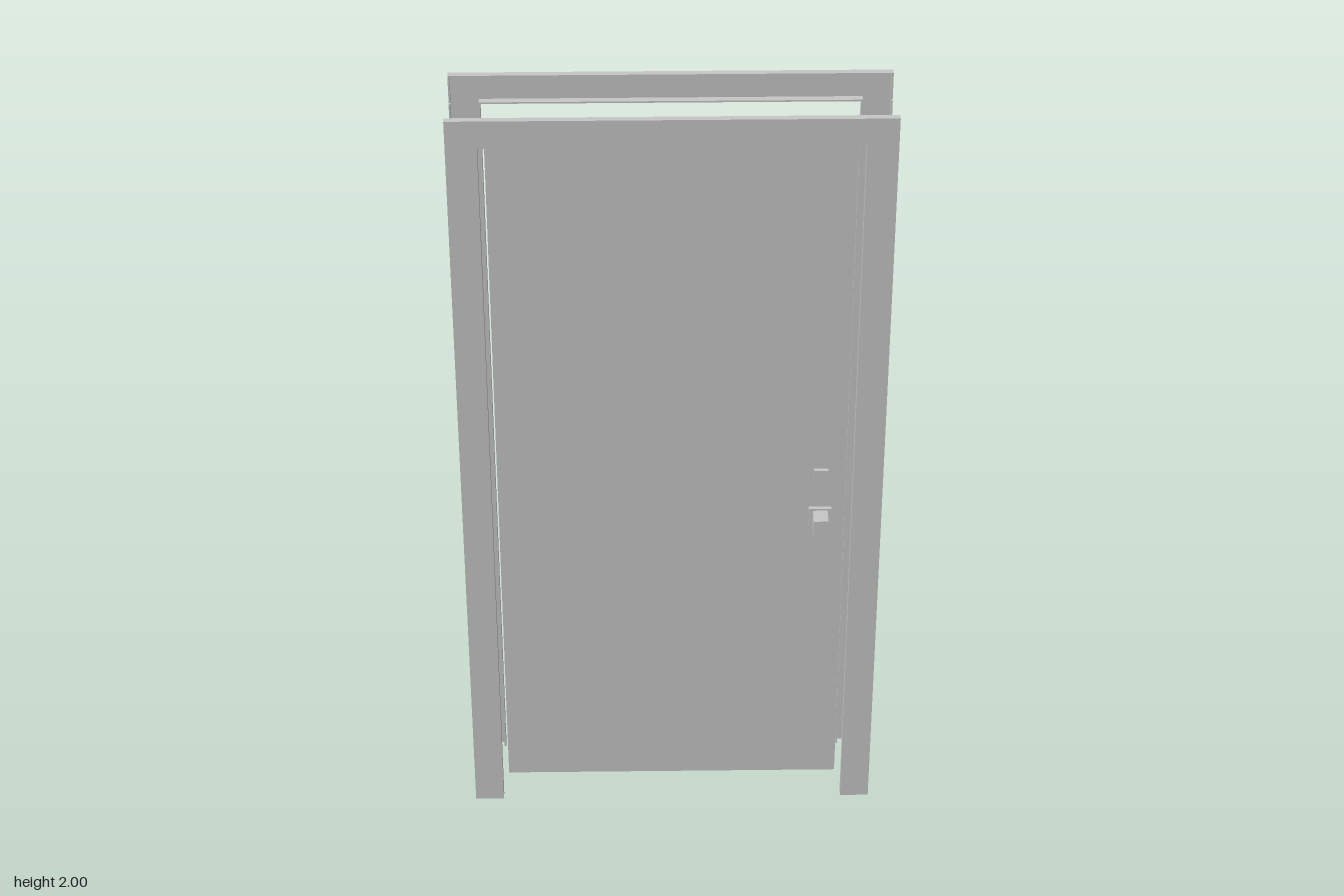
import * as THREE from 'three';

const grey = new THREE.MeshStandardMaterial({ color: 0xc8c8c8 });
grey.name = 'light grey';

// Box given by its lower and upper bounds on each axis
function box(name, [x0, x1], [y0, y1], [z0, z1]) {
  const mesh = new THREE.Mesh(new THREE.BoxGeometry(x1 - x0, y1 - y0, z1 - z0), grey);
  mesh.position.set((x0 + x1) / 2, (y0 + y1) / 2, (z0 + z1) / 2);
  mesh.name = name;
  return mesh;
}

// Door frame trim: a flat face with thin returns towards the wall, open behind
function casing(name) {
  const group = new THREE.Group();
  group.name = name;
  const inner = 0.435, outer = 0.507, headY = 1.93, top = 2;
  const wall = 0.092, back = 0.109, face = 0.113, t = 0.004;

  const outline = new THREE.Shape([
    [-outer, 0], [-inner, 0], [-inner, headY], [inner, headY],
    [inner, 0], [outer, 0], [outer, top], [-outer, top],
  ].map(([x, y]) => new THREE.Vector2(x, y)));
  const plate = new THREE.Mesh(
    new THREE.ExtrudeGeometry(outline, { depth: face - back, bevelEnabled: false }), grey);
  plate.position.z = back;
  plate.name = 'casingFace';
  group.add(plate);

  // Returns around the opening and along the outer edge
  const depth = [wall, back];
  group.add(box('headInnerReturn', [-inner, inner], [headY, headY + t], depth));
  group.add(box('headOuterReturn', [-outer, outer], [top - t, top], [0.097, back]));
  for (const [side, s] of [['left', 1], ['right', -1]]) {
    const span = (a, b) => [s * a, s * b].sort((p, q) => p - q);
    group.add(box(side + 'InnerReturn', span(inner, inner + t), [0, headY + t], depth));
    group.add(box(side + 'OuterReturn', span(outer - t, outer), [0, headY], depth));
    group.add(box(side + 'HeadEnd', span(outer - t, outer), [headY, top - t], [0.097, back]));
  }
  return group;
}

export function createModel() {
  const model = new THREE.Group();
  model.name = 'door';

  // Door leaf
  model.add(box('doorPanel', [-0.423, 0.423], [0.025, 1.917], [0, 0.041]));

  // Trim on both sides of the wall
  const front = casing('frontCasing');
  const back = casing('backCasing');
  back.rotation.y = Math.PI;
  model.add(front, back);

  // Hardware on both faces of the leaf
  for (const [side, z] of [['front', (d) => [0.041, 0.041 + d]], ['back', (d) => [-d, 0]]]) {
    model.add(box(side + 'DeadboltPlate', [0.345, 0.38], [0.957, 0.992], z(0.01)));
    model.add(box(side + 'KnobPlate', [0.335, 0.39], [0.823, 0.878], z(0.011)));
    model.add(box(side + 'Knob', [0.345, 0.381], [0.828, 0.873], z(0.056)));
  }
  return model;
}
